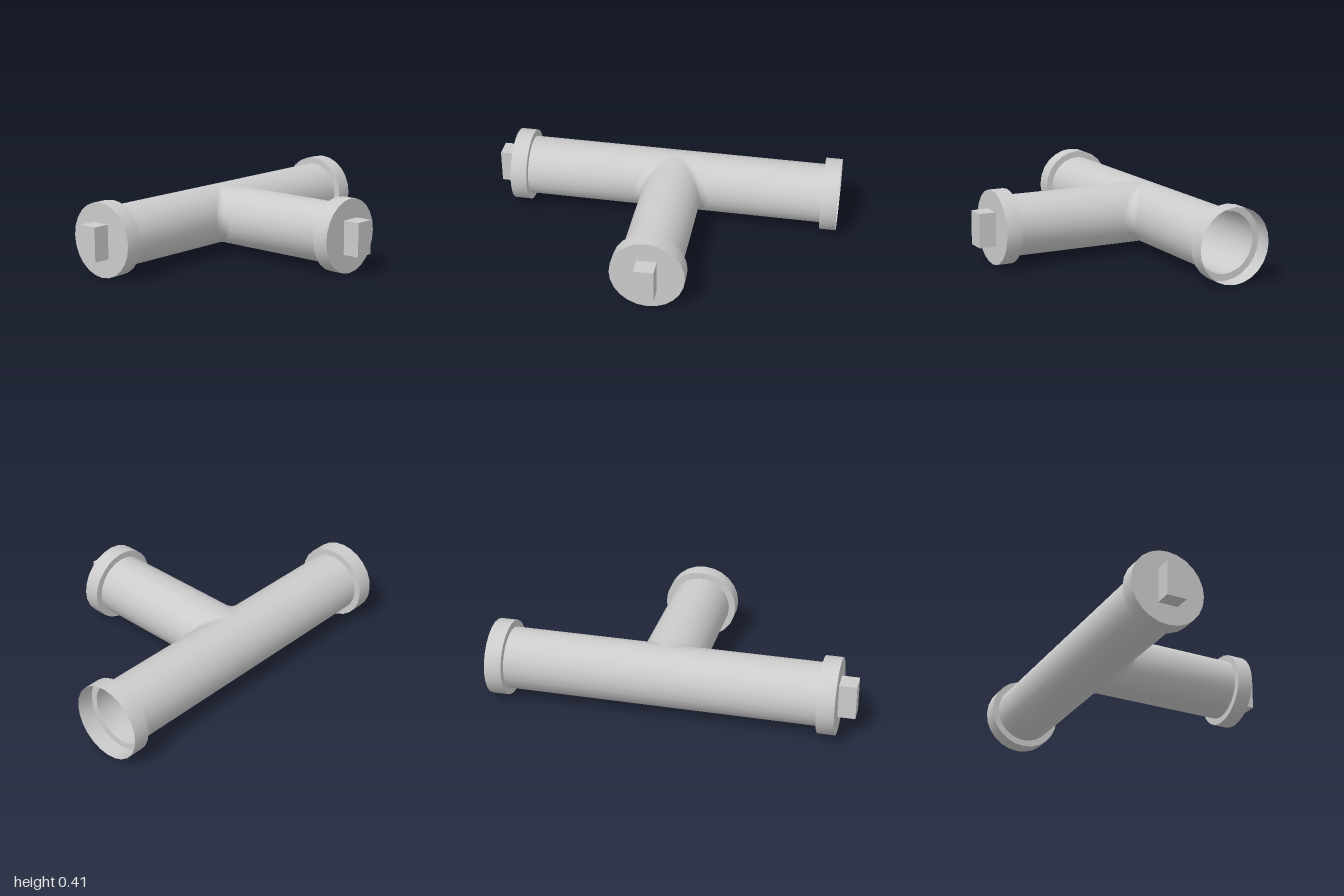
import * as THREE from 'three';
import { mergeGeometries, mergeVertices, toCreasedNormals } from 'three/addons/utils/BufferGeometryUtils.js';

const SIDES = 24, R = 0.17, COLLAR_R = 0.2075, FILLET = 0.055;
const CENTER = new THREE.Vector3(0.045, 0.2075, -0.42); // where the two pipe axes meet
const LEFT = -0.81, RIGHT = 0.905, FRONT = 0.44;        // pipe ends

const material = new THREE.MeshStandardMaterial({ color: 0xcccccc, side: THREE.DoubleSide });

// Skin between cross-sections: rows[i][j] = [x, y, z]
function skin(rows, flip = false) {
  const n = rows[0].length, index = [];
  for (let i = 0; i < rows.length - 1; i++) {
    for (let j = 0; j < n - 1; j++) {
      const a = i * n + j, b = a + n, c = b + 1, d = a + 1;
      index.push(...(flip ? [a, c, b, a, d, c] : [a, b, c, a, c, d]));
    }
  }
  const g = new THREE.BufferGeometry();
  g.setAttribute('position', new THREE.Float32BufferAttribute(rows.flat(2), 3));
  g.setIndex(index);
  return g;
}

// Hollow tee: horizontal slices, each running along the main pipe,
// round the fillet and out along the branch
function teeGeometry() {
  const left = [], right = [], back = [];
  const half = SIDES / 2, steps = 6;
  const xl = LEFT - CENTER.x, xr = RIGHT - CENTER.x, zf = FRONT - CENTER.z;
  for (let i = 0; i <= half; i++) {
    const b = -Math.PI / 2 + (i / half) * Math.PI;
    const y = R * Math.sin(b), w = R * Math.cos(b), f = FILLET * Math.cos(b);
    const bend = [];
    for (let k = 0; k <= steps; k++) {
      const t = (k / steps) * Math.PI / 2;
      bend.push([w + f * (1 - Math.sin(t)), y, w + f * (1 - Math.cos(t))]);
    }
    right.push([[xr, y, w], ...bend, [w, y, zf]]);
    left.push([[xl, y, w], ...bend.map(([x, py, z]) => [-x, py, z]), [-w, y, zf]]);
    back.push([[xl, y, -w], [0, y, -w], [xr, y, -w]]);
  }
  const g = mergeVertices(mergeGeometries([skin(right), skin(left, true), skin(back)]), 1e-4);
  g.computeVertexNormals();
  return g;
}

// Collar with an inner shoulder, turned about y; closed gives it an end wall
function collarGeometry(height, closed) {
  const p = [[R, 0], [COLLAR_R, 0], [COLLAR_R, height]];
  if (closed) p.push([0, height]);
  return toCreasedNormals(new THREE.LatheGeometry(p.map(([x, y]) => new THREE.Vector2(x, y)), SIDES), 0.6);
}

export function createModel() {
  const model = new THREE.Group();
  model.name = 'pipeTee';
  const add = (name, geometry, x, y, z) => {
    const m = new THREE.Mesh(geometry, material);
    m.name = name;
    m.position.set(x, y, z);
    model.add(m);
    return m;
  };
  const { x, y, z } = CENTER;

  add('teePipe', teeGeometry(), x, y, z);

  // Open socket on the left, closed caps on the right and the branch
  add('openSocket', collarGeometry(1 - RIGHT, false), RIGHT, y, z).rotation.z = -Math.PI / 2;
  add('rightEndCap', collarGeometry(0.095, true), LEFT, y, z).rotation.z = Math.PI / 2;
  add('branchEndCap', collarGeometry(0.09, true), x, y, FRONT).rotation.x = Math.PI / 2;

  // Wrench lugs on the caps
  add('rightLug', new THREE.BoxGeometry(0.095, 0.19, 0.11), -0.9525, y, z);
  add('branchLug', new THREE.BoxGeometry(0.11, 0.19, 0.097), x, y, 0.5785);
  return model;
}
